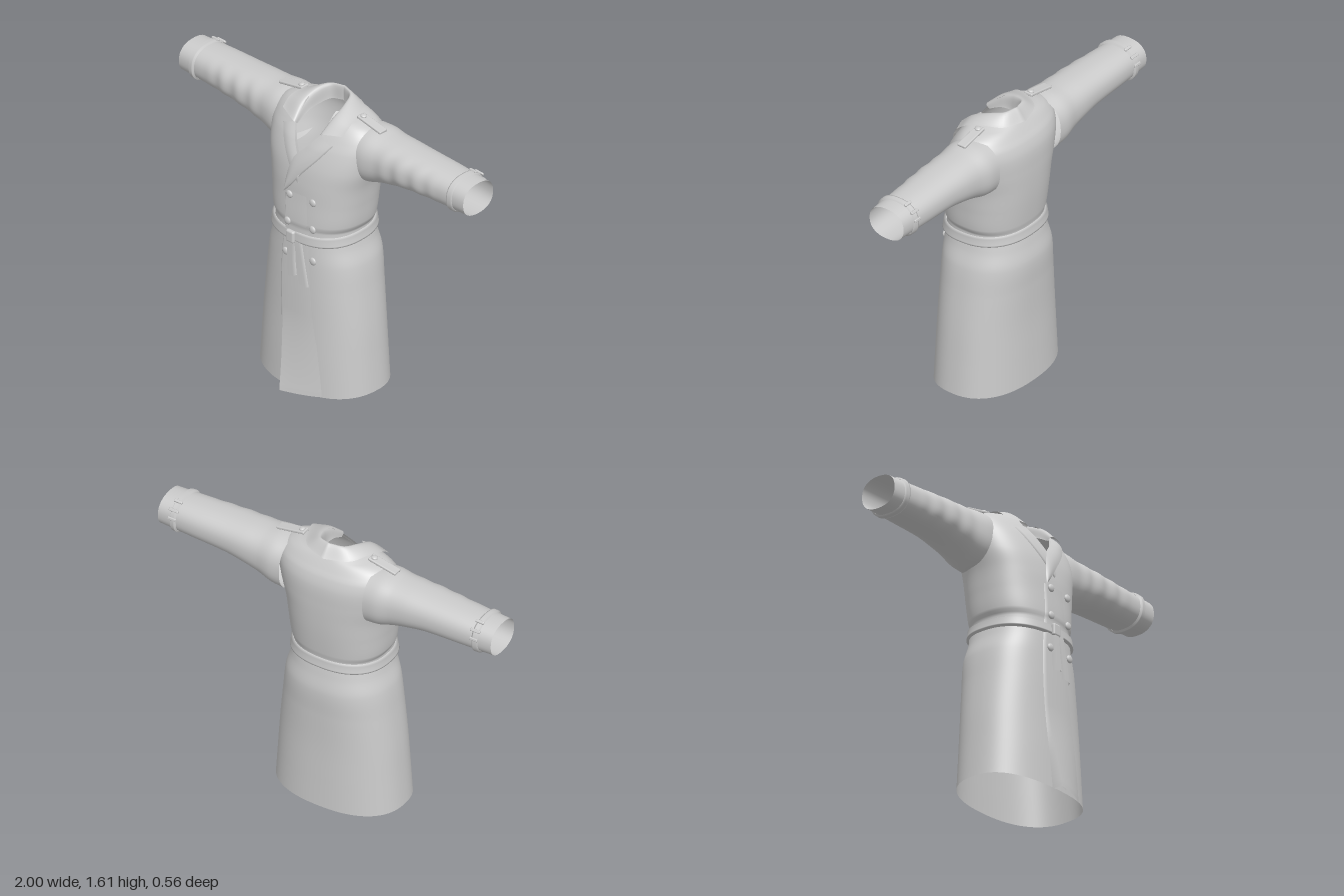
import * as THREE from 'three';
import { ParametricGeometry } from 'three/addons/geometries/ParametricGeometry.js';
import { RoundedBoxGeometry } from 'three/addons/geometries/RoundedBoxGeometry.js';

const cloth = new THREE.MeshStandardMaterial({ color: 0xcccccc, side: THREE.DoubleSide });

// Smooth interpolation of table rows keyed by their first column
function table(rows) {
  const slope = (i, k) => {
    const a = rows[Math.max(0, i - 1)], b = rows[Math.min(rows.length - 1, i + 1)];
    return (b[k] - a[k]) / (b[0] - a[0]);
  };
  return (t) => {
    t = THREE.MathUtils.clamp(t, rows[0][0], rows[rows.length - 1][0]);
    let i = 0;
    while (i < rows.length - 2 && t > rows[i + 1][0]) i++;
    const h = rows[i + 1][0] - rows[i][0], s = (t - rows[i][0]) / h, s2 = s * s, s3 = s2 * s;
    return rows[i].map((p, k) => (2 * s3 - 3 * s2 + 1) * p + (s3 - 2 * s2 + s) * h * slope(i, k)
      + (3 * s2 - 2 * s3) * rows[i + 1][k] + (s3 - s2) * h * slope(i + 1, k));
  };
}

// Coat body: height, half width, front z, back z
const body = table([
  [0.03, 0.362, 0.22, -0.28], [0.2, 0.35, 0.215, -0.277], [0.4, 0.335, 0.208, -0.275], [0.6, 0.313, 0.204, -0.28],
  [0.75, 0.293, 0.2, -0.284], [0.85, 0.263, 0.197, -0.265], [0.94, 0.25, 0.192, -0.25], [0.975, 0.267, 0.197, -0.256],
  [1.1, 0.282, 0.19, -0.27], [1.2, 0.295, 0.183, -0.277], [1.3, 0.32, 0.165, -0.28], [1.4, 0.333, 0.128, -0.277],
  [1.46, 0.328, 0.092, -0.26], [1.5, 0.305, 0.064, -0.235], [1.53, 0.26, 0.04, -0.215], [1.55, 0.18, 0.025, -0.2],
  [1.57, 0.12, 0.018, -0.18],
]);
const N = 2.35;
const midZ = (y) => -0.03 - 0.045 * THREE.MathUtils.smoothstep(y, 1.2, 1.55);
const spow = (c) => Math.sign(c) * Math.abs(c) ** (2 / N);

// Point on the body; angle 0 faces the front
function bodyPoint(y, a, off, out) {
  const [, w, zf, zb] = body(y), zc = midZ(y), c = Math.cos(a);
  return out.set((w + off) * spow(Math.sin(a)), y, zc + (c > 0 ? zf - zc + off : zc - zb + off) * spow(c));
}
// Depth of the body's front or back at x, y
function bodyZ(x, y, back = false) {
  const [, w, zf, zb] = body(y), zc = midZ(y);
  return zc + ((back ? zb : zf) - zc) * Math.max(0, 1 - Math.abs(x / w) ** N) ** (1 / N);
}

export function createModel() {
  const coat = new THREE.Group();
  coat.name = 'coat';
  const add = (name, geo, parent = coat) => {
    const m = new THREE.Mesh(geo, cloth);
    m.name = name;
    parent.add(m);
    return m;
  };
  const surface = (name, fn, nu, nv, parent) => add(name, new ParametricGeometry(fn, nu, nv), parent);

  // Panel laid over the body between two edge lines of [x, y] points
  const spline = (pts) => new THREE.CatmullRomCurve3(pts.map(([x, y]) => new THREE.Vector3(x, y, 0)));
  function panel(name, edgeA, edgeB, offset, nu = 30, nv = 14, back = false) {
    const A = spline(edgeA), B = spline(edgeB);
    return surface(name, (u, v, p) => {
      p.copy(A.getPoint(u)).lerp(B.getPoint(u), v);
      p.z = bodyZ(p.x, p.y, back) + (back ? -1 : 1) * offset(v, p.y, u);
    }, nu, nv);
  }

  // Body shell with open neckline and hem dipping at the front
  surface('body', (u, v, p) => {
    const y = 0.03 + 1.54 * v, w = body(y)[1];
    const open = THREE.MathUtils.clamp((y - 1.34) * 0.7, 0, 0.095);
    const a0 = Math.asin(Math.min(1, open / w) ** (N / 2));
    const a = a0 + u * (2 * Math.PI - 2 * a0);
    bodyPoint(y, a, 0, p);
    p.y -= 0.022 * Math.max(0, Math.cos(a)) ** 2 * Math.max(0, 1 - v * 8);
  }, 96, 110);

  // Overlapping front panel, flaring at the hem
  panel('frontOverlap',
    [[-0.065, 1.14], [-0.065, 0.95], [-0.08, 0.8], [-0.085, 0.6], [-0.075, 0.4], [-0.052, 0.15], [-0.04, 0]],
    [[0.1, 1.14], [0.12, 0.95], [0.13, 0.8], [0.15, 0.6], [0.17, 0.4], [0.19, 0.15], [0.2, 0.014]],
    (v, y) => (0.011 + 0.05 * Math.max(0, 1 - y / 0.45) ** 1.5) * Math.min(1, v * 14 + 0.05) * (1 - v) - 0.002 * v, 50);

  // Back vent overlap
  panel('backVent', [[0, 0.24], [0, 0.14], [0, 0.03]], [[0.07, 0.24], [0.07, 0.14], [0.07, 0.03]],
    (v, y, u) => 0.012 * u * Math.min(1, v * 14) * (1 - v) + 0.0005, 10);

  // Lapels
  const roll = (h) => (v) => h * Math.min(1, (1 - v) * 14) * (0.7 + 0.5 * Math.sin(Math.PI * v));
  panel('rightLapel', [[-0.092, 1.475], [-0.05, 1.4], [-0.01, 1.34], [0.03, 1.26]],
    [[-0.175, 1.44], [-0.12, 1.36], [-0.04, 1.26], [0.02, 1.2]], roll(0.011));
  panel('leftLapel', [[0.092, 1.475], [0.035, 1.4], [-0.025, 1.33], [-0.055, 1.22], [-0.066, 1.13]],
    [[0.175, 1.44], [0.12, 1.36], [0.04, 1.26], [-0.02, 1.18], [-0.064, 1.128]], roll(0.018));

  // Turned-down collar: stand, fold and outer edge from back centre to notch
  const half = (pts) => new THREE.CatmullRomCurve3(pts.map((q) => new THREE.Vector3(...q)));
  const stand = half([[0, 1.53, -0.16], [0.06, 1.525, -0.135], [0.085, 1.51, -0.07], [0.087, 1.5, 0], [0.087, 1.46, 0.08]]);
  const fold = half([[0, 1.613, -0.165], [0.07, 1.607, -0.14], [0.1, 1.59, -0.07], [0.107, 1.55, 0.02], [0.092, 1.478, 0.1]]);
  const fall = half([[0, 1.55, -0.222], [0.13, 1.557, -0.175], [0.185, 1.562, -0.08], [0.212, 1.54, 0.005], [0.21, 1.497, 0.06]]);
  surface('collar', (u, v, p) => {
    const t = Math.abs(2 * u - 1);
    p.copy(half([stand, fold, fall].map((c) => c.getPoint(t).toArray())).getPoint(v));
    if (u < 0.5) p.x = -p.x;
  }, 48, 14);

  // Belt, slightly higher at the back
  surface('belt', (u, v, p) => {
    const a = u * 2 * Math.PI;
    const y = 0.877 + 0.056 * v - 0.014 * Math.cos(a);
    bodyPoint(y, a, 0.003 + 0.013 * Math.min(1, v * 8, (1 - v) * 8), p);
  }, 96, 8);

  // Belt knot and hanging tails
  add('beltKnot', new RoundedBoxGeometry(0.055, 0.068, 0.026, 3, 0.011)).position.set(-0.004, 0.89, 0.213);
  const tailOff = (h) => (v) => h * Math.min(1, v * 6 + 0.3, (1 - v) * 6 + 0.3);
  panel('beltTailRight', [[-0.03, 0.9], [-0.028, 0.78], [-0.022, 0.66]], [[0.02, 0.9], [0.022, 0.78], [0.035, 0.675]],
    tailOff(0.026), 14, 6);
  panel('beltTailLeft', [[0.015, 0.875], [0.035, 0.75], [0.052, 0.64]], [[0.06, 0.875], [0.085, 0.75], [0.11, 0.63]],
    tailOff(0.02), 14, 6);

  // Double-breasted buttons
  const buttonGeo = new THREE.SphereGeometry(0.021, 20, 12).scale(1, 1, 0.5);
  for (const [y, xr, xl] of [[1.122, -0.026, 0.12], [0.967, -0.032, 0.122], [0.785, -0.042, 0.128]])
    for (const x of [xr, xl]) add('button', buttonGeo).position.set(x, y, bodyZ(x, y) + (x < 0 ? 0.012 : 0.006));

  // Sleeve: x, top y, bottom y, front z, back z
  const sleeve = table([
    [0.25, 1.52, 1.222, 0.045, -0.25], [0.32, 1.523, 1.232, 0.048, -0.252], [0.4, 1.515, 1.258, 0.036, -0.24],
    [0.5, 1.511, 1.283, 0.03, -0.235], [0.6, 1.507, 1.3, 0.025, -0.23], [0.8, 1.5, 1.31, 0.01, -0.225],
    [1, 1.491, 1.315, 0, -0.215],
  ]);
  const sleevePoint = (side, x, a, off, p) => {
    const [, t, b, f, k] = sleeve(x);
    const crease = 0.004 * Math.sin(x * 55 + 2 * Math.sin(a)) * Math.max(0, Math.sin(a))
      * THREE.MathUtils.smoothstep(x, 0.35, 0.5) * (1 - THREE.MathUtils.smoothstep(x, 0.7, 0.85));
    return p.set(side * x, (t + b) / 2 + ((t - b) / 2 + off) * spow(Math.cos(a)),
      (f + k) / 2 + ((f - k) / 2 + off + crease) * spow(Math.sin(a)));
  };

  for (const side of [1, -1]) {
    const arm = new THREE.Group();
    arm.name = side > 0 ? 'leftArm' : 'rightArm';
    coat.add(arm);
    surface('sleeve', (u, v, p) => sleevePoint(side, 0.25 + 0.75 * v, u * 2 * Math.PI, 0, p), 48, 60, arm);

    // Cuff strap with buckle and keeper on the upper back of the wrist
    surface('cuffStrap', (u, v, p) => sleevePoint(side, 0.888 + 0.036 * v, u * 2 * Math.PI,
      0.001 + 0.009 * Math.min(1, v * 6, (1 - v) * 6), p), 48, 6, arm);
    for (const [name, a, w] of [['cuffKeeper', -0.45, 0.048], ['cuffBuckle', -0.95, 0.056], ['cuffKeeper', -1.4, 0.048]]) {
      const loop = add(name, new RoundedBoxGeometry(w, 0.012, 0.016, 2, 0.004), arm);
      sleevePoint(side, 0.906, a, 0.012, loop.position);
      loop.rotation.x = a;
    }

    // Shoulder strap with button
    const strap = new THREE.Group();
    strap.name = 'shoulderStrap';
    strap.position.set(side * 0.275, 1.542, -0.085);
    strap.rotation.z = -side * 0.19;
    arm.add(strap);
    add('strap', new RoundedBoxGeometry(0.168, 0.016, 0.052, 2, 0.006), strap);
    const stud = add('strapButton', buttonGeo, strap);
    stud.rotation.x = Math.PI / 2;
    stud.scale.setScalar(0.8);
    stud.position.set(-side * 0.06, 0.01, 0);
  }
  return coat;
}
